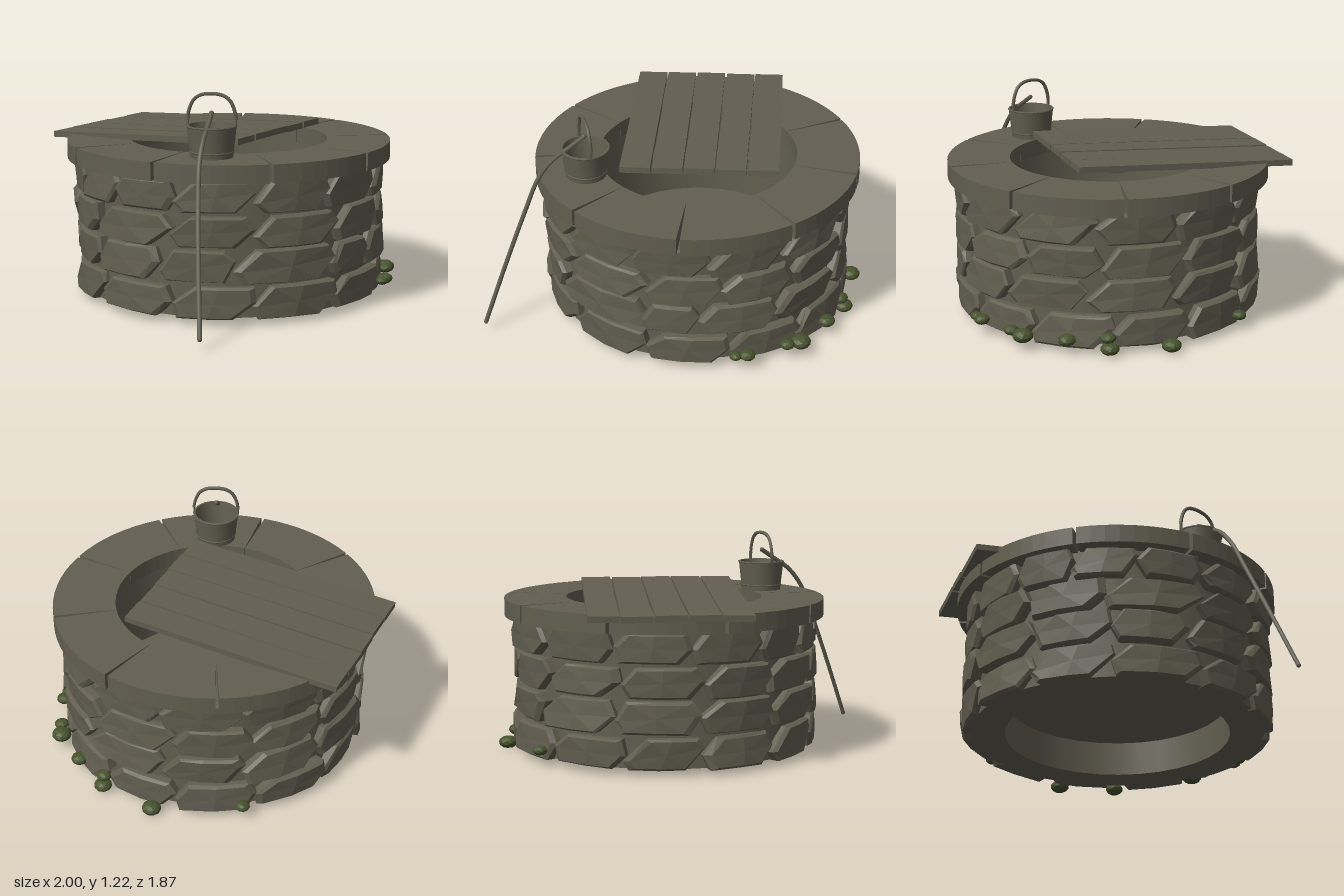
import * as THREE from 'three';
import { mergeGeometries, toCreasedNormals } from 'three/addons/utils/BufferGeometryUtils.js';

const CX = 0.052, CZ = 0.02; // axis of the well

export function createModel() {
  const model = new THREE.Group();
  model.name = 'stoneWell';

  const stone = new THREE.MeshStandardMaterial({ color: 0x625e50, flatShading: true });
  stone.name = 'weathered grey';
  const smooth = new THREE.MeshStandardMaterial({ color: 0x625e50 });
  smooth.name = 'weathered grey smooth';
  const green = new THREE.MeshStandardMaterial({ color: 0x46522c, flatShading: true });
  green.name = 'moss green';

  let seed = 7;
  const rand = (a, b) => {
    seed = (seed * 16807) % 2147483647;
    return a + (b - a) * seed / 2147483647;
  };
  const add = (geometry, material, name, parent = model) => {
    const mesh = new THREE.Mesh(geometry, material);
    mesh.name = name;
    parent.add(mesh);
    return mesh;
  };
  const lathe = (profile, segments) => toCreasedNormals(
    new THREE.LatheGeometry(profile.map(p => new THREE.Vector2(...p)), segments), 0.6);

  // Hollow wall core and the floor inside the shaft
  add(lathe([[0.818, 0.035], [0.818, 0.78], [0.63, 0.78], [0.63, 0.035], [0.818, 0.035]], 32),
    smooth, 'wallCore').position.set(CX, 0, CZ);
  add(new THREE.CylinderGeometry(0.635, 0.635, 0.01, 32), smooth, 'shaftFloor')
    .position.set(CX, 0.24, CZ);

  // One chiselled stone: a skewed hexagonal outline bent round the wall, its face tilted
  function stoneGeometry(angle, y, w, h, skew) {
    const r = rand(0.864, 0.878), tip = rand(-0.1, 0.5) * h;
    const tiltU = rand(-0.05, 0.05), tiltV = rand(-0.12, 0.12);
    const outline = [
      [-w, -tip], [-rand(0.68, 0.85) * w, -h], [0, -h], [rand(0.55, 0.75) * w, -h],
      [w, tip], [rand(0.68, 0.85) * w, h], [0, h], [-rand(0.55, 0.75) * w, h],
    ].map(([u, v]) => [u + skew * v, v]);
    const place = (u, v, radius) => {
      const a = angle - u / 0.85;
      return [CX + radius * Math.cos(a), y + v, CZ + radius * Math.sin(a)];
    };
    const tilted = (u, v, radius) => place(u, v, radius + tiltU * u + tiltV * v);
    const base = outline.map(([u, v]) => place(u, v, 0.79));
    const rim = outline.map(([u, v]) => tilted(u, v, r - rand(0.008, 0.024)));
    const inset = rand(0.84, 0.92), shift = rand(-0.06, 0.06) * w;
    const face = outline.map(([u, v]) => tilted(u * inset + shift, v * inset, r));
    const centre = tilted(shift, 0, r + 0.002);
    const out = [];
    for (let i = 0; i < outline.length; i++) {
      const j = (i + 1) % outline.length;
      out.push(...base[i], ...base[j], ...rim[j], ...base[i], ...rim[j], ...rim[i]);
      out.push(...rim[i], ...rim[j], ...face[j], ...rim[i], ...face[j], ...face[i]);
      out.push(...centre, ...face[i], ...face[j]);
    }
    const g = new THREE.BufferGeometry();
    g.setAttribute('position', new THREE.Float32BufferAttribute(out, 3));
    g.computeVertexNormals();
    return g;
  }

  // Four courses of twelve or so stones: height, and joint angles in degrees
  const courses = [
    [0.118, [-35, -4, 28, 58, 91, 120, 150, 178, 208, 238, 267, 296]],
    [0.315, [-24, -3, 35, 63, 91, 120, 151, 182, 213, 243, 276, 307]],
    [0.5, [-32, -5, 28, 58, 93, 122, 149, 180, 210, 239, 270, 299]],
    [0.687, [-28, 0, 28, 57, 82, 105, 127, 154, 183, 213, 243, 273, 303]],
  ];
  courses.forEach(([y, joints], row) => {
    const stones = joints.map((start, i) => {
      const end = i + 1 < joints.length ? joints[i + 1] : joints[0] + 360;
      const arc = THREE.MathUtils.degToRad(end - start);
      const middle = THREE.MathUtils.degToRad((start + end) / 2);
      return stoneGeometry(middle, y, arc * 0.435, rand(0.081, 0.09), rand(-0.05, 0.4));
    });
    add(mergeGeometries(stones), stone, 'stoneCourse' + (row + 1));
  });

  // Nine capstones with narrow wedge-shaped joints
  const rimGroup = new THREE.Group();
  rimGroup.name = 'capstoneRing';
  rimGroup.position.set(0.045, 0.87, CZ);
  model.add(rimGroup);
  for (let i = 0; i < 9; i++) {
    const a = (23 + 40 * i) * Math.PI / 180, b = a + 40 * Math.PI / 180;
    const gap = 0.011, s = new THREE.Shape();
    s.absarc(0, 0, 0.914, a + gap, b - gap, false);
    s.absarc(0, 0, 0.56, b - 0.002, a + 0.002, true);
    const g = new THREE.ExtrudeGeometry(s, { depth: 0.1, bevelEnabled: false, curveSegments: 4 });
    g.rotateX(Math.PI / 2);
    add(g, stone, 'capstone', rimGroup);
  }

  // Sloping plank lid
  const lid = new THREE.Group();
  lid.name = 'plankLid';
  lid.position.set(-0.255, 0.893, 0.1);
  lid.rotation.set(0, 0.347, 0.053);
  model.add(lid);
  for (let i = 0; i < 5; i++) {
    const plank = add(new THREE.BoxGeometry(1.265, 0.034, 0.168), stone, 'plank', lid);
    plank.position.set(rand(-0.006, 0.006), rand(-0.002, 0.002), (i - 2) * 0.177);
    plank.rotation.y = rand(-0.006, 0.006);
  }
  add(new THREE.BoxGeometry(0.09, 0.02, 0.8), stone, 'batten', lid).position.set(0.4, -0.024, 0);

  // Bucket with hoops
  const bucket = new THREE.Group();
  bucket.name = 'bucket';
  bucket.position.set(0.513, 0.87, 0.487);
  bucket.rotation.y = 0.72;
  model.add(bucket);
  add(lathe([[0, 0], [0.114, 0], [0.133, 0.17], [0.123, 0.17], [0.105, 0.02], [0, 0.02]], 20),
    smooth, 'bucketBody', bucket);
  for (const [y, r] of [[0.03, 0.116], [0.165, 0.132]]) {
    const hoop = add(new THREE.TorusGeometry(r, 0.005, 6, 20), smooth, 'bucketHoop', bucket);
    hoop.rotation.x = Math.PI / 2;
    hoop.position.y = y;
  }

  // Arched handle and its ears
  const handle = new THREE.CatmullRomCurve3([
    [-0.132, 0.2], [-0.122, 0.25], [-0.095, 0.305], [-0.05, 0.331],
    [0.05, 0.331], [0.095, 0.305], [0.122, 0.25], [0.132, 0.2],
  ].map(([x, y]) => new THREE.Vector3(x, y, 0)));
  add(new THREE.TubeGeometry(handle, 24, 0.01, 6), smooth, 'bucketHandle', bucket);
  for (const side of [-1, 1]) {
    add(new THREE.BoxGeometry(0.01, 0.05, 0.016), stone, 'handleEar', bucket)
      .position.set(side * 0.13, 0.185, 0);
  }

  // Rope hanging over the rim
  const rope = new THREE.CatmullRomCurve3([
    [0.515, 1.105, 0.49], [0.575, 1.045, 0.56], [0.63, 0.985, 0.63],
    [0.685, 0.88, 0.695], [0.75, 0.7, 0.75], [0.86, 0.4, 0.83], [0.985, 0.055, 0.915],
  ].map(p => new THREE.Vector3(...p)));
  add(new THREE.TubeGeometry(rope, 24, 0.013, 6), smooth, 'rope');
  for (const t of [0, 1]) {
    const end = add(new THREE.SphereGeometry(0.013, 6, 4), smooth, 'ropeEnd');
    end.position.copy(rope.getPoint(t));
  }

  // Moss clumps round the back of the base: x, y, z, size
  const moss = [
    [-0.31, 0.035, -0.81, 0.055], [0.02, 0.04, -0.88, 0.052], [0.03, 0.095, -0.86, 0.045],
    [0.25, 0.08, -0.855, 0.05], [0.49, 0.08, -0.79, 0.058], [0.555, 0.09, -0.735, 0.042],
    [0.73, 0.09, -0.57, 0.045], [0.765, 0.09, -0.515, 0.035], [-0.69, 0.085, -0.475, 0.042],
  ];
  for (const [x, y, z, r] of moss) {
    const clump = add(new THREE.IcosahedronGeometry(r, 1), green, 'mossClump');
    clump.scale.y = 0.66;
    clump.position.set(x, y, z);
    clump.rotation.y = rand(0, 3);
  }
  return model;
}
